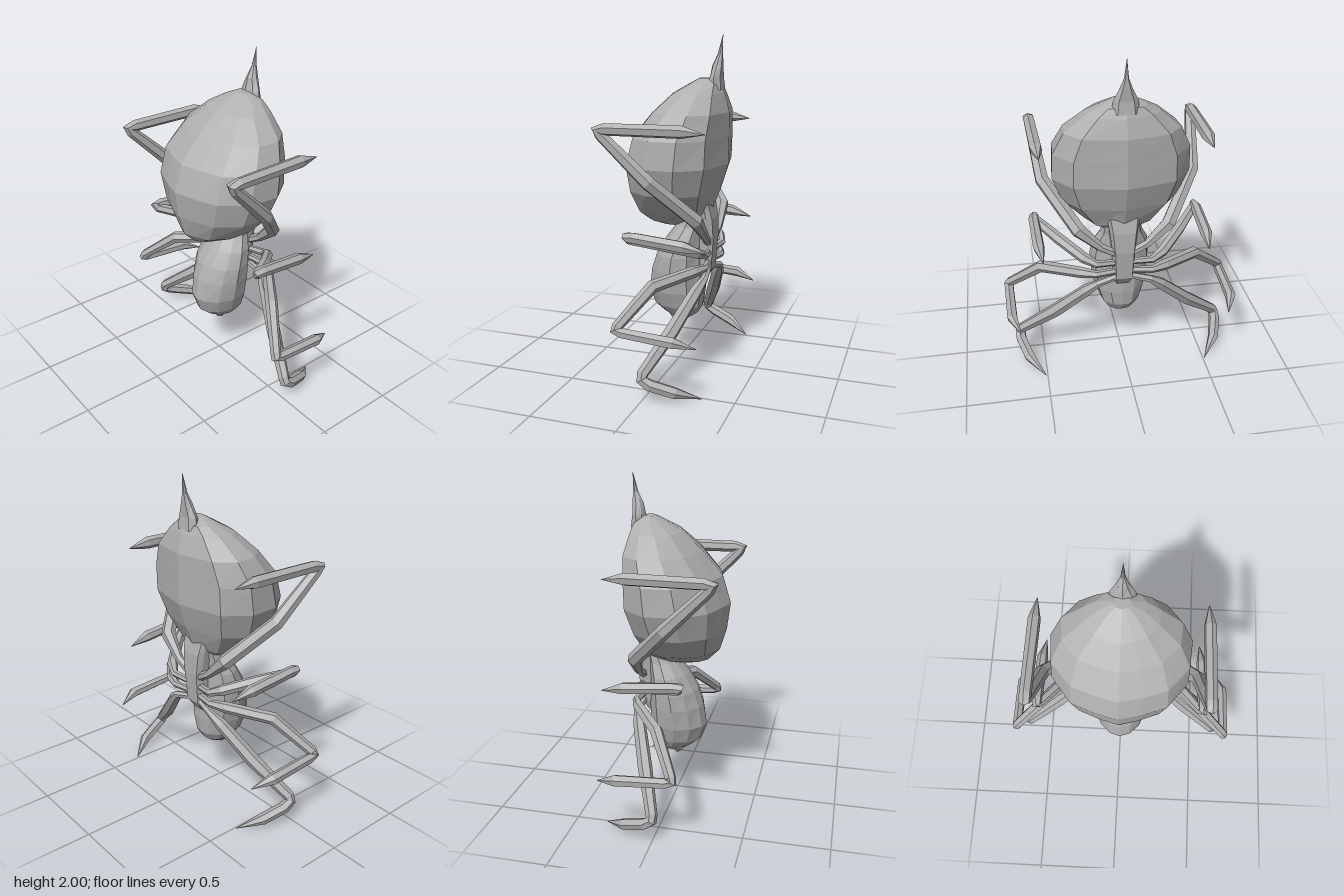
import * as THREE from 'three';

// Faceted skin over a list of closed rings (each counter-clockwise about the direction of travel)
function skin(rings) {
  const n = rings[0].length, pos = [], idx = [];
  rings.forEach(r => r.forEach(p => pos.push(p.x, p.y, p.z)));
  for (let i = 0; i < rings.length - 1; i++) {
    for (let j = 0; j < n; j++) {
      const a = i * n + j, b = i * n + (j + 1) % n;
      idx.push(a, b, b + n, a, b + n, a + n);
    }
  }
  const last = (rings.length - 1) * n;
  for (let j = 1; j < n - 1; j++) idx.push(0, j + 1, j, last, last + j, last + j + 1);
  const g = new THREE.BufferGeometry();
  g.setAttribute('position', new THREE.Float32BufferAttribute(pos, 3));
  g.setIndex(idx);
  const flat = g.toNonIndexed();
  flat.computeVertexNormals();
  return flat;
}

// Body: rows of [y, half width, back z, front z]; half section of [width share, depth share] from front to back
function body(rows, half) {
  const mirrored = half.slice(1, -1).reverse().map(([u, t]) => [-u, t]);
  const section = [...half, ...mirrored];
  return skin(rows.map(([y, w, back, front]) =>
    section.map(([u, t]) => new THREE.Vector3(u * w, y, back + t * (front - back)))));
}

// Limb: six-sided tapered tube through rows of [x, y, z, radius]
function limb(rows, side) {
  const pts = rows.map(([x, y, z]) => new THREE.Vector3(x * side, y, z));
  const dir = (a, b) => b.clone().sub(a).normalize();
  let prev = new THREE.Vector3(0, 0, 1);
  const q = new THREE.Quaternion();
  return skin(pts.map((p, i) => {
    const t = new THREE.Vector3();
    if (i > 0) t.add(dir(pts[i - 1], p));
    if (i < pts.length - 1) t.add(dir(p, pts[i + 1]));
    t.normalize();
    q.premultiply(new THREE.Quaternion().setFromUnitVectors(prev, t));
    prev = t;
    return Array.from({ length: 6 }, (_, k) => {
      const a = k * Math.PI / 3, r = rows[i][3];
      return new THREE.Vector3(Math.cos(a) * r, Math.sin(a) * r, 0).applyQuaternion(q).add(p);
    });
  }));
}

export function createModel() {
  const model = new THREE.Group();
  const grey = new THREE.MeshStandardMaterial({ color: 0xb0b0b0 });
  grey.name = 'spider grey';
  const add = (name, geometry) => {
    const mesh = new THREE.Mesh(geometry, grey);
    mesh.name = name;
    model.add(mesh);
  };

  // Large rounded rear body with a soft ridge down the front
  add('abdomen', body([
    [0.87, 0.03, -0.06, 0.1],
    [0.895, 0.09, -0.14, 0.19],
    [0.965, 0.22, -0.205, 0.26],
    [1.1, 0.345, -0.26, 0.3],
    [1.26, 0.405, -0.31, 0.32],
    [1.42, 0.4, -0.31, 0.27],
    [1.56, 0.335, -0.31, 0.15],
    [1.67, 0.21, -0.28, 0.03],
    [1.72, 0.13, -0.26, -0.06],
    [1.757, 0.05, -0.2, -0.13],
  ], [[0, 1], [0.33, 0.945], [0.68, 0.86], [0.97, 0.62], [1, 0.33], [0.73, 0.1], [0, 0]]));

  // Spike at the end of the abdomen
  add('spike', body([
    [1.69, 0.08, -0.27, -0.17],
    [1.76, 0.07, -0.262, -0.19],
    [1.83, 0.036, -0.265, -0.205],
    [1.89, 0.013, -0.265, -0.235],
    [2.0, 0.001, -0.267, -0.265],
  ], [[0, 1], [0.7, 0.8], [1, 0.4], [0.6, 0], [0, 0]]));

  // Front body with head at the lower end
  add('thorax', body([
    [0.29, 0.05, -0.085, 0.04],
    [0.32, 0.09, -0.125, 0.09],
    [0.37, 0.125, -0.155, 0.15],
    [0.47, 0.16, -0.165, 0.185],
    [0.6, 0.18, -0.165, 0.165],
    [0.7, 0.185, -0.16, 0.13],
    [0.8, 0.17, -0.16, 0.07],
    [0.88, 0.13, -0.17, 0.01],
    [0.93, 0.12, -0.18, -0.02],
    [1.02, 0.15, -0.18, -0.02],
  ], [[0, 1], [0.4, 0.95], [0.8, 0.77], [1, 0.5], [0.87, 0.2], [0.45, 0.03], [0, 0]]));

  // Raised plate under the thorax that carries the hips
  add('breastplate', body([
    [0.55, 0.045, -0.18, -0.1],
    [0.61, 0.06, -0.22, -0.1],
    [0.8, 0.07, -0.235, -0.1],
    [0.93, 0.085, -0.23, -0.1],
    [1.02, 0.1, -0.21, -0.1],
  ], [[0, 1], [1, 1], [1, 0.25], [0.8, 0], [0, 0]]));

  // Leg paths from hip to claw
  const legs = {
    firstLeg: [
      [0.04, 0.78, -0.2, 0.025], [0.14, 0.84, -0.21, 0.026], [0.27, 0.96, -0.195, 0.045],
      [0.455, 1.2, 0.025, 0.043], [0.498, 1.46, 0.285, 0.033], [0.502, 1.487, 0.305, 0.034],
      [0.5, 1.492, 0.26, 0.035], [0.49, 1.492, -0.18, 0.037], [0.485, 1.482, -0.31, 0.002],
    ],
    secondLeg: [
      [0.04, 0.72, -0.2, 0.02], [0.17, 0.735, -0.225, 0.023], [0.24, 0.765, -0.19, 0.034],
      [0.38, 0.83, -0.04, 0.035], [0.5, 0.882, 0.115, 0.03], [0.513, 0.9, 0.128, 0.032],
      [0.513, 0.898, 0.09, 0.033], [0.505, 0.868, -0.2, 0.035], [0.49, 0.838, -0.33, 0.002],
    ],
    thirdLeg: [
      [0.04, 0.66, -0.2, 0.02], [0.17, 0.66, -0.22, 0.023], [0.26, 0.658, -0.18, 0.034],
      [0.49, 0.62, -0.01, 0.038], [0.685, 0.44, 0.12, 0.031], [0.695, 0.42, 0.128, 0.031],
      [0.695, 0.41, 0.09, 0.031], [0.69, 0.388, -0.2, 0.034], [0.645, 0.35, -0.32, 0.002],
    ],
    fourthLeg: [
      [0.04, 0.62, -0.2, 0.02], [0.16, 0.59, -0.215, 0.023], [0.23, 0.53, -0.185, 0.038],
      [0.42, 0.34, -0.1, 0.043], [0.632, 0.16, -0.005, 0.034], [0.645, 0.13, -0.005, 0.034],
      [0.642, 0.102, -0.05, 0.035], [0.6, 0.058, -0.18, 0.034], [0.51, 0.002, -0.31, 0.002],
    ],
  };
  for (const side of [1, -1]) {
    const prefix = side > 0 ? 'left ' : 'right ';
    for (const [name, rows] of Object.entries(legs)) add(prefix + name, limb(rows, side));
    // Short jaws under the head
    add(prefix + 'fang', limb([
      [0.03, 0.35, 0.02, 0.045], [0.022, 0.295, 0.01, 0.032], [0.006, 0.257, -0.005, 0.01],
    ], side));
  }
  return model;
}
